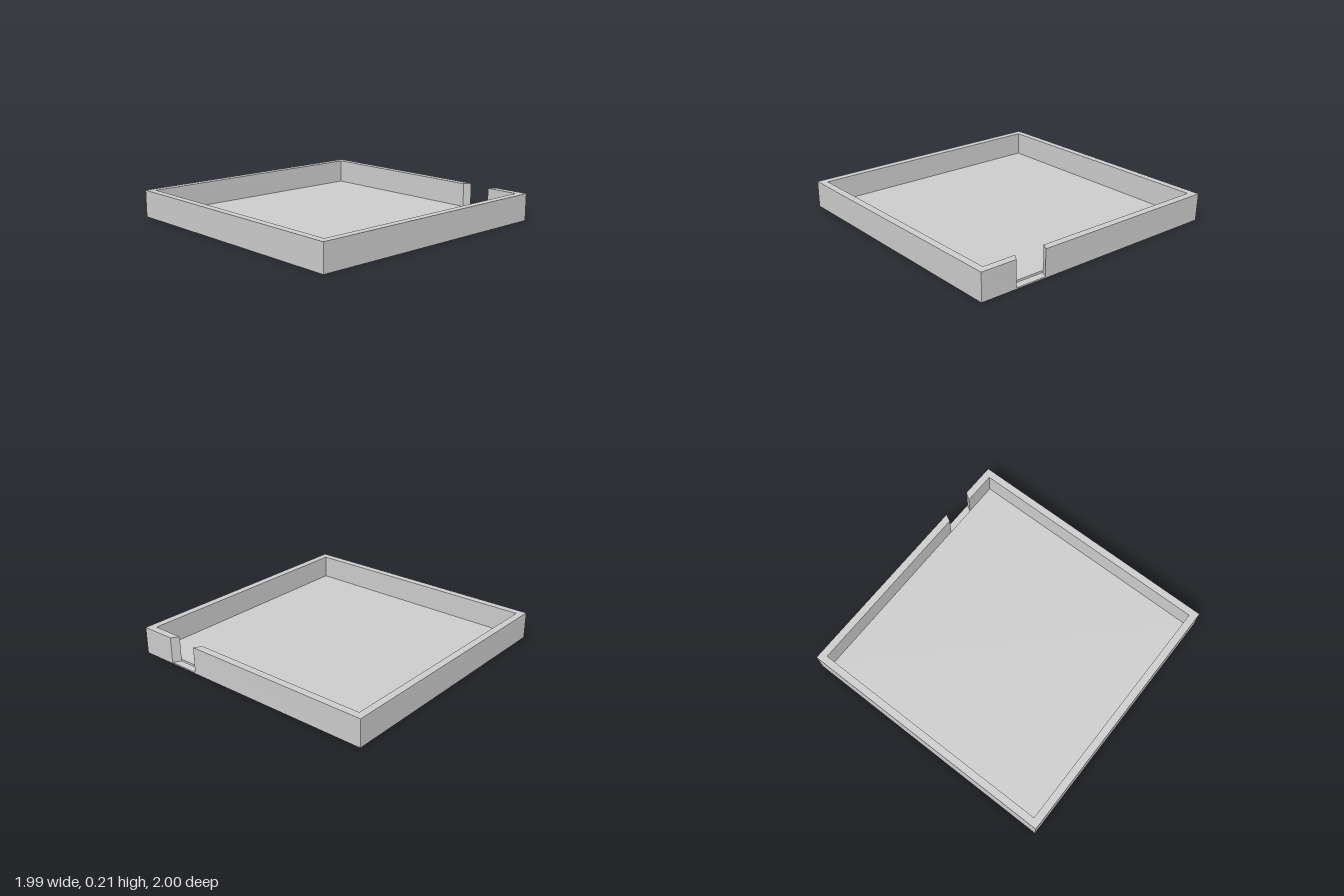
import * as THREE from 'three';

const mat = new THREE.MeshStandardMaterial({ color: 0xcccccc, flatShading: true });

// Extrudes an x/z outline upward from y0 to y1
function slab(name, outline, y0, y1) {
  const shape = new THREE.Shape(outline.map(([x, z]) => new THREE.Vector2(x, -z)));
  const geo = new THREE.ExtrudeGeometry(shape, { depth: y1 - y0, bevelEnabled: false });
  geo.rotateX(-Math.PI / 2).translate(0, y0, 0);
  const mesh = new THREE.Mesh(geo, mat);
  mesh.name = name;
  return mesh;
}

export function createModel() {
  const group = new THREE.Group();
  group.name = 'tray';
  const L = -0.997, R = 0.992, B = -0.995, F = 0.998;          // outer sides
  const l = -0.943, r = 0.937, b = -0.94, f = 0.942;           // inner sides

  // rim wall, one C-shaped piece with a slanted notch through the back
  const wall = slab('rimWall', [
    [0.48, B], [L, B], [L, F], [R, F], [R, B], [0.72, B],
    [0.685, b], [r, b], [r, f], [l, f], [l, b], [0.45, b],
  ], 0, 0.2);

  // the rim rises slightly towards the back right corner
  const p = wall.geometry.attributes.position;
  for (let i = 0; i < p.count; i++) {
    if (p.getY(i) < 0.1) continue;
    const u = (R - p.getX(i)) / (R - L), v = (F - p.getZ(i)) / (F - B);
    p.setY(i, 0.2 + 0.0035 * (u + v));
    p.setX(i, p.getX(i) - 0.003 * u * v);
    p.setZ(i, p.getZ(i) - 0.004 * u * v);
  }
  wall.geometry.computeVertexNormals();

  // floor panel and the thin sill left inside the notch
  const floor = slab('floor', [[l, b], [l, f], [r, f], [r, b]], 0, 0.025);
  const sill = slab('notchSill', [[0.48, B], [0.45, b], [0.685, b], [0.72, B]], 0, 0.01);

  group.add(wall, floor, sill);
  return group;
}
